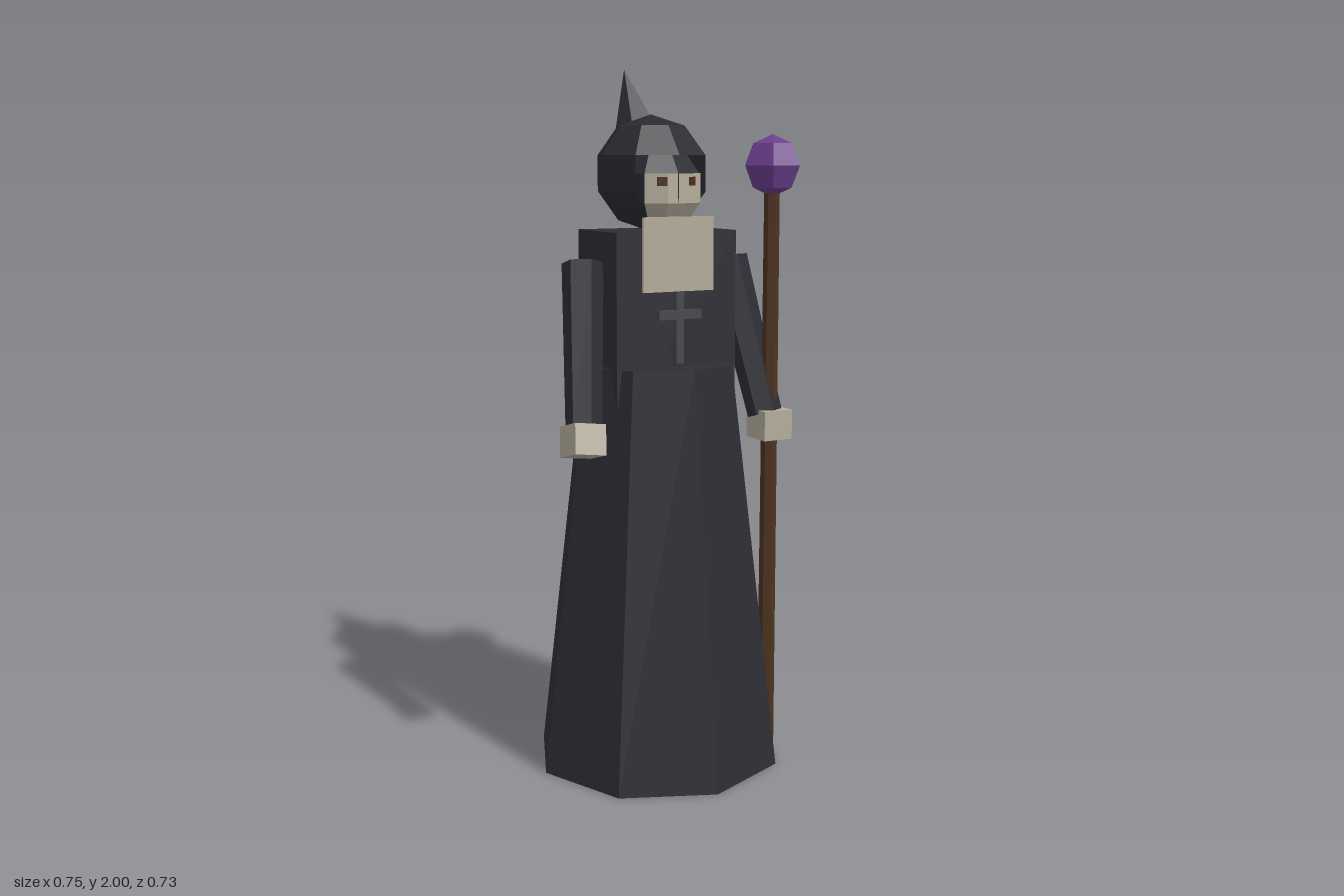
import * as THREE from 'three';

export function createModel() {
  const root = new THREE.Group();
  const CX = -0.012; // body axis
  const mat = (name, color) => {
    const m = new THREE.MeshStandardMaterial({ color, flatShading: true });
    m.name = name;
    return m;
  };
  const robe = mat('robe cloth', 0x2d2d35);
  const hoodCloth = mat('hood cloth', 0x2a2b31);
  hoodCloth.side = THREE.DoubleSide;
  const skin = mat('pale skin', 0xb5ad9b);
  const linen = mat('linen', 0xb3ab99);
  const wood = mat('staff wood', 0x4d3320);
  const eyeBrown = mat('eye brown', 0x4a2e1e);
  const iron = mat('iron', 0x46474b);
  const violet = mat('violet crystal', 0x6b3f8c);

  const add = (name, geometry, material, x, y, z, parent = root) => {
    const m = new THREE.Mesh(geometry, material);
    m.name = name;
    m.position.set(x, y, z);
    parent.add(m);
    return m;
  };
  const box = (w, h, d) => new THREE.BoxGeometry(w, h, d);

  // Robe
  add('skirt', new THREE.CylinderGeometry(0.222, 0.363, 1.175, 8), robe, CX, 0.5875, 0);
  add('torso', box(0.375, 0.55, 0.242), robe, CX, 1.275, 0);
  add('bib', box(0.22, 0.205, 0.009), linen, CX, 1.488, 0.1255);

  // Pendant cross
  const cross = new THREE.Group();
  cross.name = 'pendantCross';
  root.add(cross);
  add('crossUpright', box(0.024, 0.2, 0.018), iron, CX, 1.286, 0.13, cross);
  add('crossBar', box(0.132, 0.026, 0.018), iron, CX, 1.322, 0.132, cross);

  // Hood: full dome on top, front quarter left open below it
  const hood = new THREE.Group();
  hood.name = 'hood';
  hood.position.set(CX, 1.706, -0.035);
  hood.scale.z = 1.08;
  root.add(hood);
  const HR = 0.163, P = Math.PI;
  add('hoodDome', new THREE.SphereGeometry(HR, 8, 2, 0, 2 * P, 0, 0.4 * P), hoodCloth, 0, 0, 0, hood);
  add('hoodSides', new THREE.SphereGeometry(HR, 6, 3, 0.75 * P, 1.5 * P, 0.4 * P, 0.6 * P), hoodCloth, 0, 0, 0, hood);

  // Hood point, leaning back with its tip at the rear
  const tilt = 0.4, tipH = 0.235;
  const tip = add('hoodPoint', new THREE.ConeGeometry(0.076, tipH, 5).rotateY(P), robe,
    CX, 2 - Math.cos(tilt) * tipH / 2, -0.2 + Math.sin(tilt) * tipH / 2);
  tip.rotation.x = -tilt;

  // Head: dark coif with a skin-coloured front
  add('coif', new THREE.SphereGeometry(0.128, 8, 5), hoodCloth, CX, 1.667, 0.005);
  add('face', new THREE.SphereGeometry(0.131, 2, 3, 0.25 * P, 0.5 * P, 0.4 * P, 0.6 * P), skin, CX, 1.667, 0.006);
  for (const s of [-1, 1]) {
    add(s < 0 ? 'rightEye' : 'leftEye', box(0.028, 0.024, 0.009), eyeBrown, CX + s * 0.045, 1.686, 0.1165)
      .rotation.y = s * P / 8;
  }

  // Arms reaching down and forward, with blocky hands
  const up = new THREE.Vector3(0, 1, 0);
  for (const s of [-1, 1]) {
    const side = s < 0 ? 'right' : 'left';
    const shoulder = new THREE.Vector3(CX + s * 0.232, 1.463, 0);
    const wrist = new THREE.Vector3(CX + s * 0.29, 1.02, 0.122);
    const dir = shoulder.clone().sub(wrist);
    const mid = shoulder.clone().add(wrist).multiplyScalar(0.5);
    const arm = add(side + 'Arm', new THREE.CylinderGeometry(0.058, 0.05, dir.length(), 6), robe, mid.x, mid.y, mid.z);
    arm.quaternion.setFromUnitVectors(up, dir.normalize());
    const hand = add(side + 'Hand', box(0.092, 0.085, 0.1), skin, CX + s * 0.298, 0.992, 0.133);
    if (s < 0) hand.quaternion.copy(arm.quaternion);
  }

  // Staff with crystal orb
  add('staff', new THREE.CylinderGeometry(0.022, 0.025, 1.65, 6), wood, 0.287, 0.833, 0.131);
  add('staffOrb', new THREE.SphereGeometry(0.087, 6, 4), violet, 0.287, 1.728, 0.131);

  return root;
}
